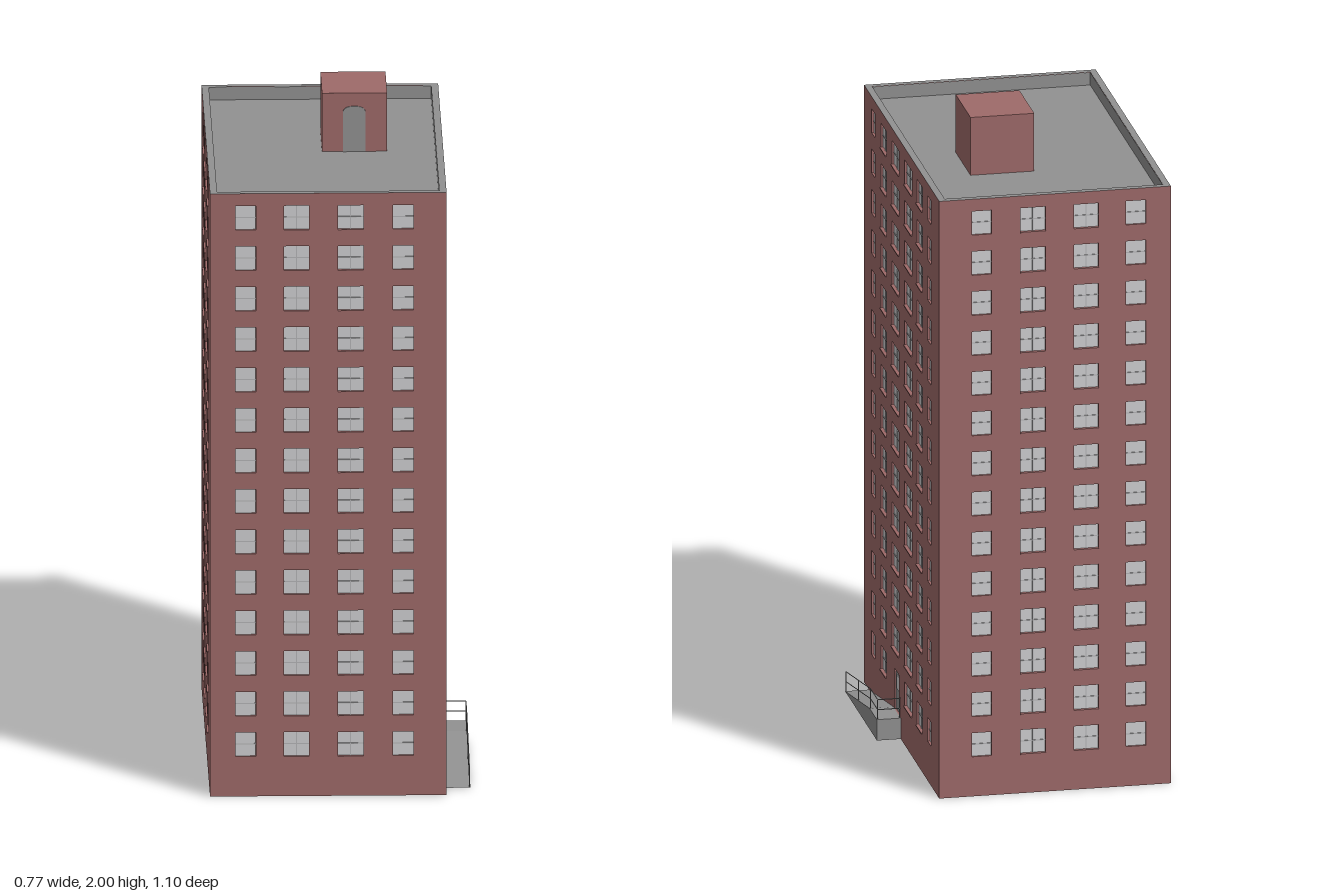
import * as THREE from 'three';
import { mergeGeometries } from 'three/addons/utils/BufferGeometryUtils.js';

const X0 = -0.385, X1 = 0.313, Z = 0.547, CX = (X0 + X1) / 2, W = X1 - X0;
const WALL_TOP = 1.85, TOP = 1.86, ROOF = 1.82, THICK = 0.009;
const ROWS = 14, ROW0 = 0.16, STEP = 0.125, WIN_H = 0.074;

const mat = (name, color, side = THREE.FrontSide) => {
  const m = new THREE.MeshStandardMaterial({ color, side });
  m.name = name;
  return m;
};

// box given by its lower and upper corners
const boxGeo = (x0, x1, y0, y1, z0, z1) =>
  new THREE.BoxGeometry(x1 - x0, y1 - y0, z1 - z0)
    .translate((x0 + x1) / 2, (y0 + y1) / 2, (z0 + z1) / 2);

const rectHole = (x0, x1, y0, y1) => new THREE.Path()
  .moveTo(x0, y0).lineTo(x0, y1).lineTo(x1, y1).lineTo(x1, y0).closePath();

export function createModel() {
  const model = new THREE.Group();
  model.name = 'apartmentTower';
  const brick = mat('brick', 0x9e6a69);
  const grey = mat('concrete', 0x919191);
  const glass = mat('windowPane', 0xcfcfd1, THREE.DoubleSide);
  const frame = mat('windowFrame', 0xb4b4b6);

  const add = (parent, name, geo, material) => {
    const mesh = new THREE.Mesh(geo, material);
    mesh.name = name;
    parent.add(mesh);
    return mesh;
  };

  // one wall with window openings; cols = [centre, width], outer face at z = 0
  function wall(name, width, cols, x, z, turn, door) {
    const g = new THREE.Group();
    g.name = name;
    const h = width / 2;
    const shape = new THREE.Shape()
      .moveTo(-h, 0).lineTo(h, 0).lineTo(h, WALL_TOP).lineTo(-h, WALL_TOP).closePath();
    const panes = [], bars = [], sills = [];
    for (let r = 0; r < ROWS; r++) {
      const y = ROW0 + r * STEP, y0 = y - WIN_H / 2, y1 = y + WIN_H / 2;
      for (const [c, w] of cols) {
        const a = c - w / 2, b = c + w / 2;
        if (door && r === 0 && door[0] < b && door[1] > a) continue;
        shape.holes.push(rectHole(a, b, y0, y1));
        panes.push(new THREE.PlaneGeometry(w, WIN_H).translate(c, y, -0.007));
        bars.push(boxGeo(a, b, y - 0.0015, y + 0.0015, -0.008, -0.005));
        if (w > 0.065) {
          bars.push(boxGeo(c - 0.0015, c + 0.0015, y0, y1, -0.008, -0.005));
          sills.push(boxGeo(a, b, y0 - 0.004, y0, -0.004, 0.004));
        }
      }
    }
    if (door) shape.holes.push(rectHole(...door));
    const geo = new THREE.ExtrudeGeometry(shape, { depth: THICK, bevelEnabled: false });
    add(g, 'wallPanel', geo.translate(0, 0, -THICK), brick);
    add(g, 'windowPanes', mergeGeometries(panes), glass);
    add(g, 'windowBars', mergeGeometries(bars), frame);
    add(g, 'windowSills', mergeGeometries(sills), brick);
    if (door) {
      const [a, b, y0, y1] = door;
      add(g, 'entranceDoor', boxGeo(a, b, y0, y1, -0.009, -0.005), grey);
      add(g, 'entranceGlass', boxGeo(a + 0.014, b - 0.014, y0 + 0.068, y1 - 0.014, -0.006, -0.003), glass);
    }
    g.position.set(x, 0, z);
    g.rotation.y = turn;
    model.add(g);
  }

  const ends = [-0.28, -0.13, 0.03, 0.185].map((x, i) => [x - CX, i % 3 ? 0.075 : 0.06]);
  const mirror = (cols) => cols.map(([c, w]) => [-c, w]);
  const long = [[-0.41, 0.052], [-0.262, 0.08], [-0.09, 0.105],
    [0.097, 0.105], [0.26, 0.08], [0.402, 0.052]];
  wall('frontWall', W, ends, CX, Z, 0);
  wall('backWall', W, mirror(ends), CX, -Z, Math.PI);
  wall('leftWall', 2 * Z, long, X1, 0, Math.PI / 2, [-0.105, -0.037, 0.065, 0.19]);
  wall('rightWall', 2 * Z, mirror(long), X0, 0, -Math.PI / 2);

  // roof slab and parapet
  const p = 0.02;
  add(model, 'roof', boxGeo(X0 + 0.009, X1 - 0.009, ROOF - 0.01, ROOF, -Z + 0.009, Z - 0.009), grey);
  const rim = new THREE.Shape()
    .moveTo(X0, -Z).lineTo(X1, -Z).lineTo(X1, Z).lineTo(X0, Z).closePath();
  rim.holes.push(rectHole(X0 + p, X1 - p, -Z + p, Z - p));
  add(model, 'parapetCap', new THREE.ExtrudeGeometry(rim, { depth: TOP - WALL_TOP, bevelEnabled: false })
    .rotateX(-Math.PI / 2).translate(0, WALL_TOP, 0), [grey, brick]);
  const lining = new THREE.Shape()
    .moveTo(X0 + 0.009, -Z + 0.009).lineTo(X1 - 0.009, -Z + 0.009)
    .lineTo(X1 - 0.009, Z - 0.009).lineTo(X0 + 0.009, Z - 0.009).closePath();
  // inner faces stand just proud of the cap so that they read as concrete
  lining.holes.push(rectHole(X0 + p + 0.001, X1 - p - 0.001, -Z + p + 0.001, Z - p - 0.001));
  add(model, 'parapetLining', new THREE.ExtrudeGeometry(lining, { depth: TOP - ROOF - 0.001, bevelEnabled: false })
    .rotateX(-Math.PI / 2).translate(0, ROOF, 0), grey);

  // stair house on the roof with an arched door
  add(model, 'stairHouse', boxGeo(-0.042, 0.15, ROOF, 2, -0.215, 0), brick);
  const arch = new THREE.Shape().moveTo(0.02, ROOF).lineTo(0.086, ROOF).lineTo(0.086, 1.943)
    .quadraticCurveTo(0.084, 1.96, 0.053, 1.96).quadraticCurveTo(0.022, 1.96, 0.02, 1.943).closePath();
  add(model, 'roofDoor', new THREE.ExtrudeGeometry(arch, { depth: 0.003, bevelEnabled: false }), grey);

  // entrance landing with a ramp, drawn as a side profile in (-z, y)
  const ramp = new THREE.Group();
  ramp.name = 'entranceRamp';
  model.add(ramp);
  const side = new THREE.Shape()
    .moveTo(-0.475, 0).lineTo(-0.012, 0).lineTo(-0.012, 0.065).lineTo(-0.118, 0.065).closePath();
  add(ramp, 'rampBody', new THREE.ExtrudeGeometry(side, { depth: 0.385 - X1, bevelEnabled: false })
    .rotateY(Math.PI / 2).translate(X1, 0, 0), grey);

  // railing along the outer edge and across the closed end
  const xr = 0.382, t = 0.0016;
  const rod = (a, b) => {
    const curve = new THREE.LineCurve3(new THREE.Vector3(...a), new THREE.Vector3(...b));
    return new THREE.TubeGeometry(curve, 1, t, 4);
  };
  const rods = [];
  const deck = (z) => 0.065 * Math.min(1, (0.475 - z) / 0.357);
  for (const z of [0.473, 0.295, 0.118, 0.015])
    rods.push(rod([xr, deck(z), z], [xr, deck(z) + 0.061, z]));
  rods.push(rod([X1 + 0.003, 0.065, 0.015], [X1 + 0.003, 0.126, 0.015]));
  for (const h of [0.03, 0.061]) {
    rods.push(rod([xr, h, 0.473], [xr, 0.065 + h, 0.118]));
    rods.push(rod([xr, 0.065 + h, 0.118], [xr, 0.065 + h, 0.015]));
    rods.push(rod([xr, 0.065 + h, 0.015], [X1, 0.065 + h, 0.015]));
  }
  add(ramp, 'handrail', mergeGeometries(rods), grey);

  return model;
}
